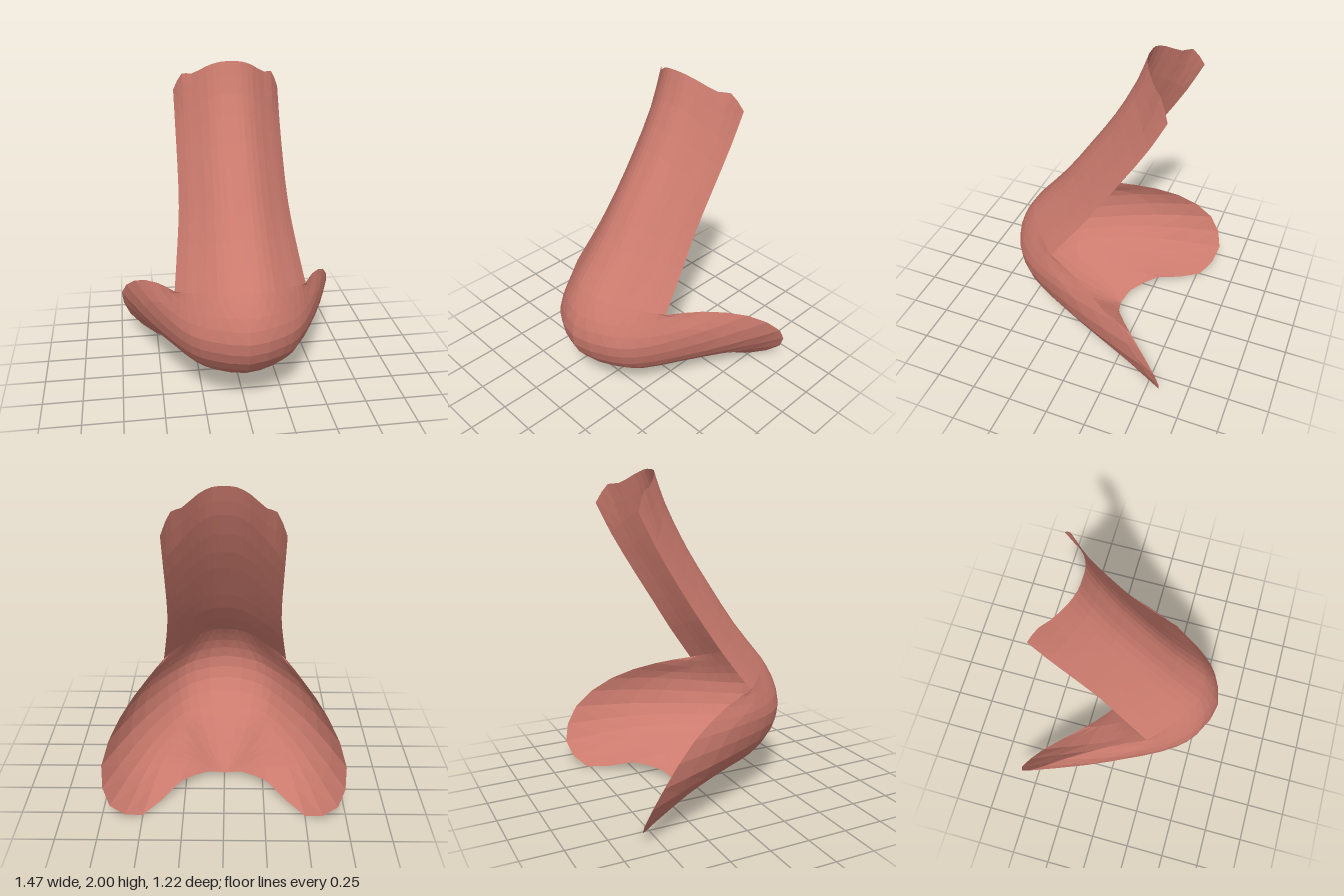
import * as THREE from 'three';

const V = (x, y, z) => new THREE.Vector3(x, y, z);

// Bridge stations, top to bottom: centre y, z and side edge x, y, z
const bridgeStations = [
  [2.0, -0.25, 0.335, 1.79, -0.465],
  [1.82, -0.185, 0.335, 1.6, -0.37],
  [1.55, -0.045, 0.337, 1.35, -0.22],
  [1.3, 0.115, 0.345, 1.14, -0.085],
  [1.05, 0.285, 0.368, 0.95, 0.04],
  [0.8, 0.488, 0.405, 0.71, 0.215],
];
// Arch of the bridge section, from the centre to the side edge
const archX = [0, 0.2, 0.42, 0.68, 0.84, 1];
const archZ = [0, 0.02, 0.17, 0.5, 0.72, 1];
const topY = [0, 0.02, 0.16, 0.43, 0.46, 1]; // scalloped upper rim

// Half sections of the tip, wings and underside, from the centre to the open rim
const lowerSections = [
  [[0, 0.68, 0.565], [0.13, 0.68, 0.535], [0.24, 0.665, 0.46], [0.34, 0.638, 0.355], [0.42, 0.632, 0.23], [0.5, 0.67, 0]],
  [[0, 0.53, 0.61], [0.22, 0.53, 0.53], [0.33, 0.52, 0.425], [0.435, 0.53, 0.255], [0.55, 0.55, 0], [0.64, 0.56, -0.28]],
  [[0, 0.38, 0.57], [0.21, 0.38, 0.495], [0.32, 0.37, 0.39], [0.455, 0.37, 0.16], [0.6, 0.37, -0.15], [0.735, 0.36, -0.51]],
  [[0, 0.24, 0.44], [0.18, 0.24, 0.375], [0.29, 0.245, 0.28], [0.405, 0.245, 0.07], [0.525, 0.22, -0.2], [0.685, 0.14, -0.605]],
  [[0, 0.15, 0.26], [0.14, 0.157, 0.22], [0.25, 0.185, 0.12], [0.34, 0.18, -0.02], [0.41, 0.15, -0.2], [0.5, 0.005, -0.52]],
  [[0, 0.085, 0.08], [0.09, 0.092, 0.06], [0.16, 0.115, 0.01], [0.21, 0.125, -0.07], [0.25, 0.115, -0.16], [0.28, 0.075, -0.27]],
  [[0, 0.025, -0.1], [0.02, 0.028, -0.103], [0.045, 0.034, -0.109], [0.07, 0.041, -0.115], [0.095, 0.048, -0.122], [0.12, 0.055, -0.13]],
];

// Mirror a half section across x = 0 and sample it as one smooth curve
function fullSection(half, segments = 20) {
  const mirrored = half.slice(1).reverse().map(p => V(-p.x, p.y, p.z));
  return new THREE.CatmullRomCurve3([...mirrored, ...half]).getPoints(segments);
}

// Loft an open surface down through the sections, with two rows per station
function loft(sections) {
  const columns = sections[0].length;
  const rows = (sections.length - 1) * 2 + 1;
  const lines = [];
  for (let j = 0; j < columns; j++) {
    lines.push(new THREE.CatmullRomCurve3(sections.map(s => s[j])).getPoints(rows - 1));
  }
  const positions = [], index = [];
  for (let i = 0; i < rows; i++) {
    for (let j = 0; j < columns; j++) {
      positions.push(...lines[j][i].toArray());
      if (i < rows - 1 && j < columns - 1) {
        const a = i * columns + j, b = a + columns;
        // Mirror the diagonals so both halves match
        if (j < (columns - 1) / 2) index.push(a, b, b + 1, a, b + 1, a + 1);
        else index.push(a, b, a + 1, b, b + 1, a + 1);
      }
    }
  }
  const geometry = new THREE.BufferGeometry();
  geometry.setAttribute('position', new THREE.Float32BufferAttribute(positions, 3));
  geometry.setIndex(index);
  geometry.computeVertexNormals();
  return geometry;
}

export function createModel() {
  const skin = new THREE.MeshStandardMaterial({ color: 0xcc7b6e, flatShading: true, side: THREE.DoubleSide });
  skin.name = 'skin';

  const group = new THREE.Group();
  group.name = 'nose';

  const bridgeSections = bridgeStations.map(([cy, cz, ex, ey, ez], i) =>
    fullSection(archX.map((fx, k) => V(
      ex * fx,
      cy + (ey - cy) * (i === 0 ? topY : archZ)[k],
      cz + (ez - cz) * archZ[k]))));

  // Leaning arched bridge, open at the back
  const bridge = new THREE.Mesh(loft(bridgeSections), skin);
  bridge.name = 'bridge';

  // Tip, flaring wings and hollowed underside, continuing from the bridge
  const lower = lowerSections.map(s => fullSection(s.map(p => V(...p))));
  const tip = new THREE.Mesh(loft([bridgeSections.at(-1), ...lower]), skin);
  tip.name = 'tipAndWings';

  group.add(bridge, tip);
  return group;
}
